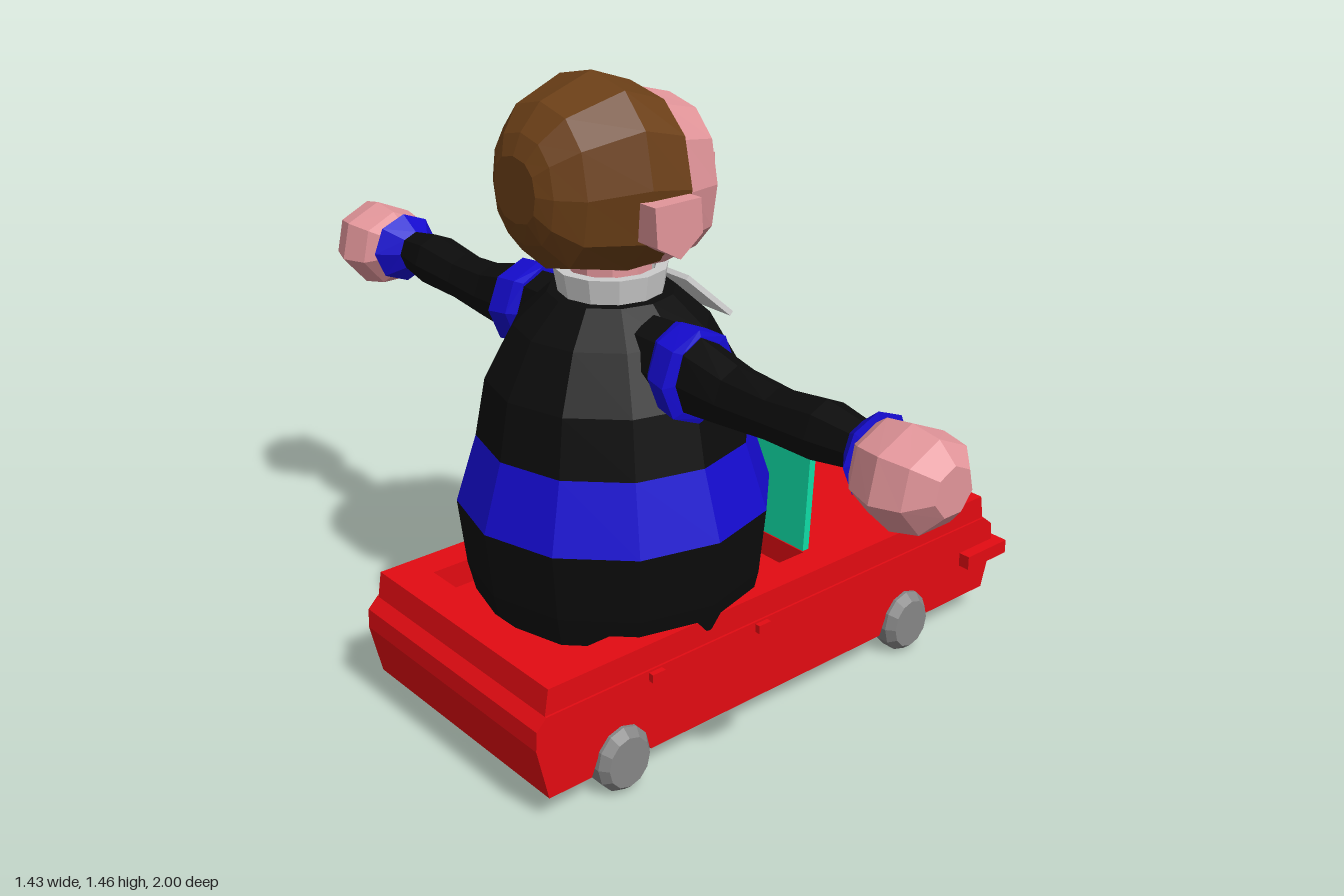
import * as THREE from 'three';

const mat = (color) => new THREE.MeshStandardMaterial({ color, flatShading: true, side: THREE.DoubleSide });
const red = mat(0xe30b12), black = mat(0x0c0c0c), blue = mat(0x150bcf), skin = mat(0xe2959a);
const brown = mat(0x6b3f17), white = mat(0xcccccc), grey = mat(0x858585), green = mat(0x0fdca5);

function add(parent, name, geometry, material, x = 0, y = 0, z = 0) {
  const mesh = new THREE.Mesh(geometry, material);
  mesh.name = name;
  mesh.position.set(x, y, z);
  parent.add(mesh);
  return mesh;
}

// Closed skin along +z through elliptical rings [z, centreX, centreY, radiusX, radiusY]
function loft(rings, sides, power = 1) {
  const pos = [], idx = [];
  const bend = (v) => Math.sign(v) * Math.abs(v) ** power;
  for (const [z, cx, cy, rx, ry] of rings) {
    for (let i = 0; i < sides; i++) {
      const a = (i / sides) * Math.PI * 2 + Math.PI / 2;
      pos.push(cx + rx * bend(Math.cos(a)), cy + ry * bend(Math.sin(a)), z);
    }
  }
  for (let r = 0; r < rings.length - 1; r++) {
    for (let i = 0; i < sides; i++) {
      const a = r * sides + i, b = r * sides + ((i + 1) % sides);
      idx.push(a, b, b + sides, a, b + sides, a + sides);
    }
  }
  const last = (rings.length - 1) * sides;
  for (let i = 1; i < sides - 1; i++) idx.push(0, i + 1, i, last, last + i, last + i + 1);
  const g = new THREE.BufferGeometry();
  g.setAttribute('position', new THREE.Float32BufferAttribute(pos, 3));
  g.setIndex(idx);
  g.computeVertexNormals();
  return g;
}

const points = (list) => list.map(([x, y]) => new THREE.Vector2(x, y));
const lathe = (list, sides) => new THREE.LatheGeometry(points(list), sides);

function makeCar() {
  const car = new THREE.Group();
  car.name = 'car';
  const wheelX = [-0.5, 0.37], wheelY = 0.08;

  // Body side profile with wheel arches along the bottom
  const arch = (x) => [[x - 0.08, 0.065], [x - 0.055, 0.125], [x, 0.155], [x + 0.055, 0.125], [x + 0.08, 0.065]];
  const profile = [[-0.69, 0.065], ...arch(wheelX[0]), ...arch(wheelX[1]), [0.66, 0.065],
    [0.69, 0.17], [0.685, 0.235], [0.655, 0.26], [-0.69, 0.26], [-0.715, 0.235], [-0.718, 0.19]];
  const body = new THREE.ExtrudeGeometry(new THREE.Shape(points(profile)), { depth: 0.65, bevelEnabled: false });
  add(car, 'carBody', body, red, 0, 0, -0.325);

  // Upper deck with the cockpit opening
  const deck = new THREE.Shape(points([[-0.69, -0.32], [0.655, -0.32], [0.655, 0.32], [-0.69, 0.32]]));
  deck.holes.push(new THREE.Path(points([[-0.59, -0.24], [-0.59, 0.24], [0.11, 0.24], [0.11, -0.24]])));
  const deckGeo = new THREE.ExtrudeGeometry(deck, { depth: 0.06, bevelEnabled: false }).rotateX(-Math.PI / 2);
  const p = deckGeo.attributes.position;
  for (let i = 0; i < p.count; i++) {
    if (p.getY(i) > 0.03 && Math.abs(p.getZ(i)) > 0.3) p.setX(i, p.getX(i) * 0.985);
  }
  add(car, 'upperDeck', deckGeo, red, 0, 0.26, 0);

  add(car, 'frontBumper', new THREE.BoxGeometry(0.14, 0.035, 0.71), red, 0.64, 0.173, 0);
  const shield = add(car, 'windshield', new THREE.BoxGeometry(0.018, 0.235, 0.47), green, 0.13, 0.433, 0);
  shield.rotation.z = -0.07;

  for (const side of [-1, 1]) {
    for (const x of [-0.405, -0.1]) {
      add(car, 'doorHandle', new THREE.BoxGeometry(0.035, 0.02, 0.02), red, x, 0.245, side * 0.328);
    }
  }

  // Wheels and axles
  for (const x of wheelX) {
    add(car, 'axle', new THREE.CylinderGeometry(0.027, 0.027, 0.58, 8).rotateX(Math.PI / 2), grey, x, wheelY, 0);
    for (const side of [-1, 1]) {
      const wheel = lathe([[0, -0.035], [0.068, -0.035], [0.077, -0.02], [0.077, 0.015], [0.06, 0.035], [0, 0.035]], 12);
      wheel.rotateX(side * Math.PI / 2).scale(0.9, 1, 1);
      add(car, 'wheel', wheel, grey, x, wheelY, side * 0.318);
    }
  }
  return car;
}

function makeArm(side) {
  const arm = new THREE.Group();
  arm.name = side > 0 ? 'leftArm' : 'rightArm';
  arm.scale.z = side;
  const x = -0.265;
  add(arm, 'sleeve', loft([[0.16, x, 0.885, 0.08, 0.09], [0.31, x, 0.88, 0.068, 0.088], [0.42, x, 0.873, 0.062, 0.068],
    [0.54, x, 0.875, 0.055, 0.058], [0.67, x, 0.885, 0.062, 0.065], [0.79, x, 0.885, 0.042, 0.045]], 8), black);
  add(arm, 'shoulderBand', loft([[0.23, x, 0.885, 0.075, 0.095], [0.25, x, 0.885, 0.092, 0.1],
    [0.305, x, 0.88, 0.1, 0.103], [0.31, x, 0.88, 0.07, 0.09]], 8), blue);
  add(arm, 'cuff', loft([[0.76, x, 0.885, 0.045, 0.05], [0.805, x - 0.005, 0.885, 0.088, 0.086],
    [0.81, x - 0.005, 0.885, 0.06, 0.06]], 8), blue);
  add(arm, 'hand', loft([[0.79, -0.275, 0.885, 0.055, 0.055], [0.835, -0.28, 0.88, 0.095, 0.092],
    [0.9, -0.285, 0.88, 0.11, 0.104], [0.96, -0.28, 0.88, 0.095, 0.092], [1, -0.28, 0.885, 0.05, 0.05]], 7), skin);
  return arm;
}

function makeHead() {
  const head = new THREE.Group();
  head.name = 'head';
  // Rings run from back to front along x: [x, low, high, halfWidth]
  const shell = (rings) => loft(rings.map(([x, lo, hi, w]) => [x, 0, (lo + hi) / 2, w, (hi - lo) / 2]), 12, 0.85)
    .rotateY(Math.PI / 2);
  add(head, 'hair', shell([[-0.49, 1.18, 1.32, 0.07], [-0.47, 1.13, 1.365, 0.105], [-0.42, 1.07, 1.42, 0.15],
    [-0.29, 1.04, 1.465, 0.195], [-0.19, 1.045, 1.43, 0.197]]), brown);
  add(head, 'face', shell([[-0.3, 1.04, 1.4, 0.16], [-0.19, 1.04, 1.42, 0.193], [-0.085, 1.05, 1.39, 0.155],
    [-0.05, 1.09, 1.345, 0.11], [-0.028, 1.17, 1.28, 0.045]]), skin);
  add(head, 'nose', new THREE.BoxGeometry(0.055, 0.065, 0.14), skin, -0.045, 1.228, 0);

  // Ears with a pointed lobe
  const ear = new THREE.Shape(points([[-0.25, 1.11], [-0.19, 1.155], [-0.195, 1.23], [-0.315, 1.23], [-0.31, 1.145]]));
  for (const side of [-1, 1]) {
    const geo = new THREE.ExtrudeGeometry(ear, { depth: 0.08, bevelEnabled: false });
    add(head, side > 0 ? 'leftEar' : 'rightEar', geo, skin, 0, 0, side > 0 ? 0.15 : -0.23);
  }
  return head;
}

function makeDriver() {
  const driver = new THREE.Group();
  driver.name = 'driver';
  const x = -0.25;

  // Torso with a striped belly
  add(driver, 'lowerTorso', lathe([[0, 0.285], [0.322, 0.29], [0.338, 0.36], [0.354, 0.515]], 12), black, x);
  add(driver, 'bellyStripe', lathe([[0.354, 0.515], [0.305, 0.67]], 12), blue, x);
  add(driver, 'upperTorso', lathe([[0.305, 0.67], [0.28, 0.8], [0.215, 0.92], [0.14, 0.99], [0, 0.99]], 12), black, x);

  // Neck and collar
  add(driver, 'neck', new THREE.CylinderGeometry(0.09, 0.09, 0.1, 10), skin, x, 1.01, 0);
  add(driver, 'collar', lathe([[0.1, 0.985], [0.115, 0.985], [0.125, 1.045], [0.1, 1.045]], 12), white, x);
  const flap = new THREE.BoxGeometry(0.012, 0.13, 0.2);
  const p = flap.attributes.position;
  for (let i = 0; i < p.count; i++) if (p.getY(i) < 0) p.setZ(i, p.getZ(i) * 1.4);
  add(driver, 'collarFlap', flap, white, -0.075, 0.962, 0).rotation.z = 0.78;

  driver.add(makeArm(1), makeArm(-1), makeHead());
  return driver;
}

export function createModel() {
  const model = new THREE.Group();
  model.name = 'driverInCar';
  model.add(makeCar(), makeDriver());
  return model;
}
